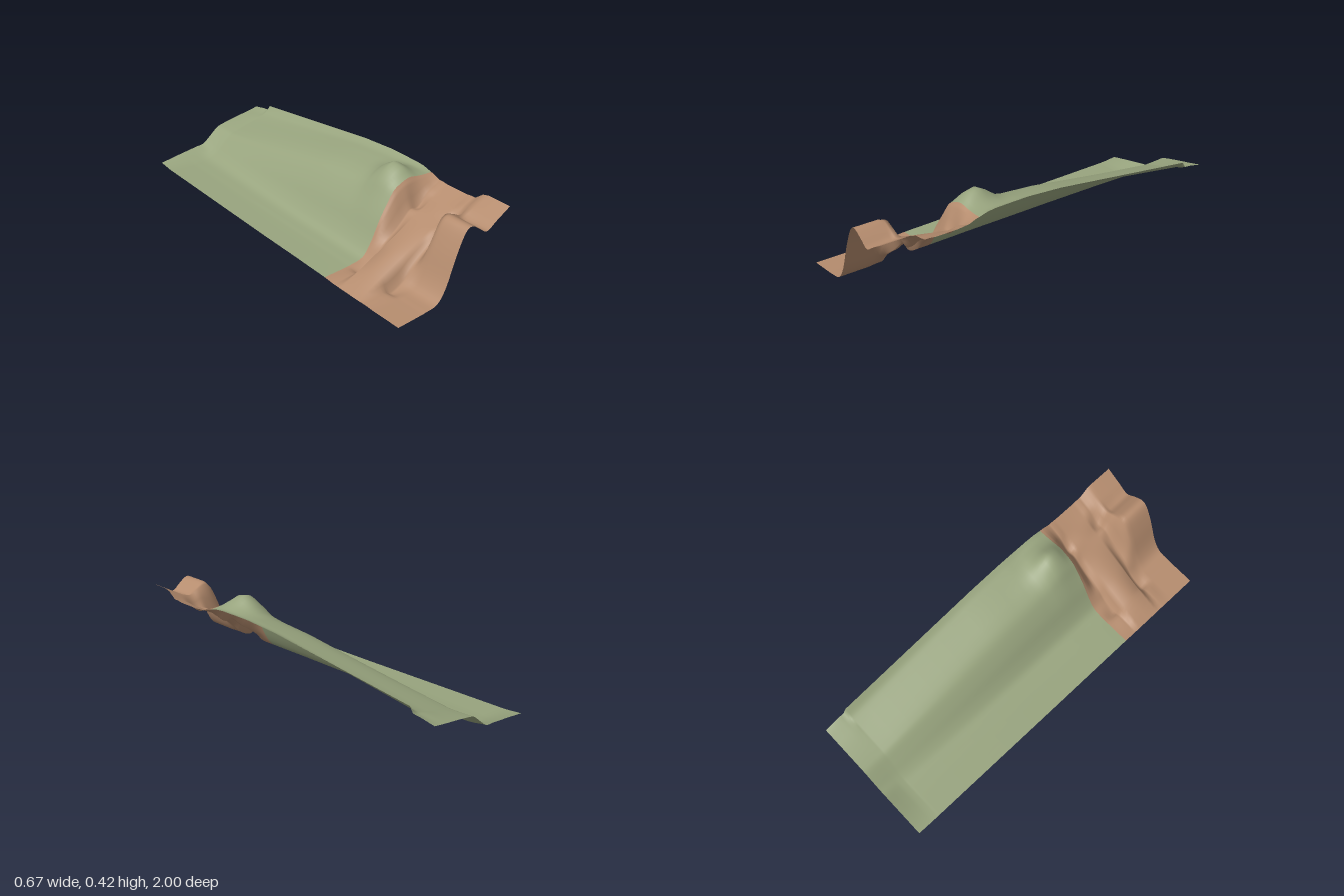
import * as THREE from 'three';

// Across-slope stations and the height profiles sampled at them
const X = [-0.335, -0.22, -0.17, -0.1, -0.05, 0, 0.05, 0.09, 0.14, 0.19, 0.25, 0.3, 0.335];
const bluff = [0.006, 0.012, 0.016, 0.03, 0.1, 0.235, 0.34, 0.363, 0.335, 0.302, 0.335, 0.363, 0.383];
const bluffBack = [0.006, 0.012, 0.016, 0.03, 0.095, 0.22, 0.325, 0.355, 0.338, 0.318, 0.335, 0.358, 0.375];
const ditch = [0.008, 0.02, 0.002, 0.035, 0.09, 0.13, 0.165, 0.2, 0.243, 0.24, 0.3, 0.325, 0.34];
const ramp = X.map((x) => 0.007 + (x + 0.335) * 0.49);
const border = [0.012, 0.016, 0.02, 0.035, 0.1, 0.2, 0.28, 0.335, 0.362, 0.375, 0.365, 0.36, 0.36];
const knoll = [0.014, 0.018, 0.022, 0.036, 0.1, 0.2, 0.29, 0.36, 0.411, 0.424, 0.385, 0.368, 0.378];
const meadow = [0.017, 0.02, 0.024, 0.038, 0.1, 0.19, 0.26, 0.3, 0.325, 0.34, 0.353, 0.362, 0.38];
const lowMeadow = [0.035, 0.036, 0.038, 0.045, 0.07, 0.115, 0.16, 0.175, 0.188, 0.2, 0.215, 0.235, 0.27];
const lipEnd = [...lowMeadow.slice(0, 11), 0.225, 0.24];
const backEdge = [0.045, 0.063, 0.07, 0.08, 0.087, 0.125, 0.165, 0.177, 0.187, 0.196, 0.206, 0.215, 0.222];

const mix = (a, b, t) => a.map((h, i) => h + (b[i] - h) * t);

// Skin a strip of ground through [z, profile] sections, running front to back
function groundStrip(sections, material, name) {
  const nx = 48, positions = [], index = [];
  const rows = [];
  sections.forEach(([z, p], k) => {
    rows.push([z, p]);
    const next = sections[k + 1];
    if (!next) return;
    const steps = Math.max(2, Math.ceil((z - next[0]) / 0.1));
    for (let s = 1; s < steps; s++) {
      rows.push([z + (next[0] - z) * s / steps, mix(p, next[1], s / steps)]);
    }
  });
  rows.forEach(([z, p], j) => {
    const curve = new THREE.SplineCurve(X.map((x, i) => new THREE.Vector2(x, p[i])));
    for (let i = 0; i <= nx; i++) {
      const v = curve.getPoint(i / nx);
      positions.push(v.x, Math.max(0, v.y), z);
      if (i < nx && j < rows.length - 1) {
        const a = j * (nx + 1) + i, c = a + nx + 1;
        index.push(a, a + 1, c, a + 1, c + 1, c);
      }
    }
  });
  const geometry = new THREE.BufferGeometry();
  geometry.setAttribute('position', new THREE.Float32BufferAttribute(positions, 3));
  geometry.setIndex(index);
  geometry.computeVertexNormals();
  const mesh = new THREE.Mesh(geometry, material);
  mesh.name = name;
  return mesh;
}

export function createModel() {
  const grass = new THREE.MeshStandardMaterial({ color: 0x98a47e, side: THREE.DoubleSide });
  grass.name = 'grass green';
  const earth = new THREE.MeshStandardMaterial({ color: 0xb58c6e, side: THREE.DoubleSide });
  earth.name = 'earth brown';

  const model = new THREE.Group();
  model.name = 'hillside';

  // Bare earth: front bluff, two ditches and the straight ramp between them
  model.add(groundStrip([
    [1, bluff], [0.87, bluff], [0.835, bluffBack], [0.79, ditch], [0.765, ditch],
    [0.73, ramp], [0.605, ramp], [0.57, ditch], [0.55, ditch],
    [0.51, mix(border, ditch, 0.2)], [0.49, border],
  ], earth, 'earthRamp'));

  // Grass: knoll, long falling meadow with a raised lip, and the back edge
  model.add(groundStrip([
    [0.49, border], [0.44, mix(border, knoll, 0.75)], [0.39, knoll],
    [0.34, mix(knoll, meadow, 0.3)], [0.28, mix(knoll, meadow, 0.8)], [0.2, meadow],
    [0, mix(meadow, lowMeadow, 0.11)], [-0.86, lowMeadow], [-0.88, lipEnd],
    [-0.92, mix(lipEnd, backEdge, 0.2)], [-1, backEdge],
  ], grass, 'grassSlope'));

  return model;
}
